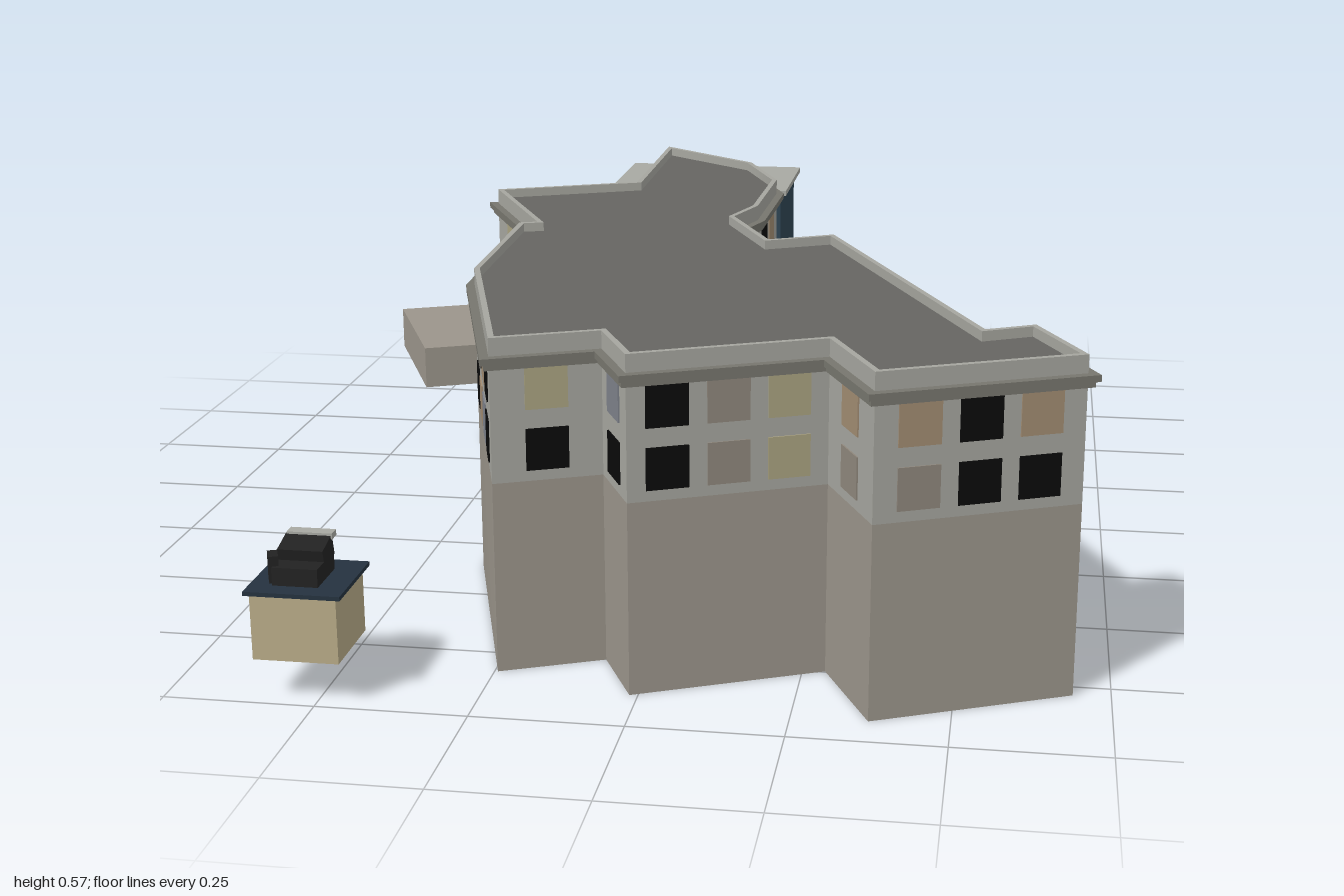
import * as THREE from 'three';
import { toCreasedNormals } from 'three/addons/utils/BufferGeometryUtils.js';

const mat = (color) => new THREE.MeshStandardMaterial({ color, side: THREE.DoubleSide });
const M = {
  lower: mat(0x9b958b), upper: mat(0xa6a69f), cornice: mat(0x77766e), roof: mat(0x666562),
  slab: mat(0xa8a9a2), glass: mat(0x2f4553), sand: mat(0xb8ab88), navy: mat(0x25323f), dark: mat(0x222222),
};
// window panes: black, tan, cream, grey, blue-grey
const PANES = { b: mat(0x0a0a0a), t: mat(0xa18c72), c: mat(0xaaa381), g: mat(0x8f877c), u: mat(0x7d818a) };

// footprint of the eaves as [x, z], going round from the north tip by the east
const EAVES = [
  [-0.265, -0.935], [-0.02, -0.74], [0.063, -0.54], [0.058, -0.255], [0.026, -0.15],
  [0.11, 0.03], [0.228, -0.03], [0.534, 0.635], [0.614, 0.593], [0.709, 0.79],
  [0.365, 0.947], [0.28, 0.767], [-0.021, 0.905], [-0.085, 0.772], [-0.254, 0.846],
  [-0.402, 0.365], [-0.413, -0.04], [-0.386, -0.05], [-0.54, -0.355], [-0.26, -0.48],
];

// panes for each wall of the footprint: [upper row, lower row]
const WINDOWS = {
  1: ['c', 'b'], 2: ['tb', 'bb'], 3: ['c', 'b'], 4: ['b', 't'], 5: ['c', 'b'],
  6: ['bbbbbbt', 'tbbcbbb'], 8: ['t', 'c'], 9: ['tbt', 'bbg'], 10: ['t', 'g'],
  11: ['cgb', 'cgb'], 12: ['u', 'b'], 13: ['c', 'b'], 14: ['btbc', 'butb'],
  15: ['btbb', 'bbtb'], 17: ['bc', 'bb'], 18: ['btc', 'bgb'], 19: ['bu', 'bb'],
};

const outward = (a, b) => {
  const dx = b[0] - a[0], dz = b[1] - a[1], l = Math.hypot(dx, dz);
  return [dz / l, -dx / l];
};

// moves an outline inwards by d with mitred corners
function inset(pts, d) {
  const n = pts.length;
  return pts.map((p, i) => {
    const m = outward(pts[(i + n - 1) % n], p), k = outward(p, pts[(i + 1) % n]);
    const s = -d / (1 + m[0] * k[0] + m[1] * k[1]);
    return [p[0] + (m[0] + k[0]) * s, p[1] + (m[1] + k[1]) * s];
  });
}

const rect = (x0, x1, z0, z1) => [[x0, z0], [x1, z0], [x1, z1], [x0, z1]];

// upright prism over an outline; with a wall thickness it is an open shell
function prism(name, pts, y0, y1, material, wall = 0) {
  const v2 = (list) => list.map(([x, z]) => new THREE.Vector2(x, -z));
  const shape = new THREE.Shape(v2(pts));
  if (wall) shape.holes.push(new THREE.Path(v2(inset(pts, wall))));
  const geo = new THREE.ExtrudeGeometry(shape, { depth: y1 - y0, bevelEnabled: false });
  geo.rotateX(-Math.PI / 2).translate(0, y0, 0);
  const mesh = new THREE.Mesh(toCreasedNormals(geo, 0.61), material);
  mesh.name = name;
  return mesh;
}

function box(name, w, h, d, x, y, z, material) {
  const mesh = new THREE.Mesh(new THREE.BoxGeometry(w, h, d), material);
  mesh.position.set(x, y, z);
  mesh.name = name;
  return mesh;
}

function makeWindows(walls) {
  const group = new THREE.Group();
  group.name = 'windows';
  for (const [i, rows] of Object.entries(WINDOWS)) {
    const a = walls[+i], b = walls[(+i + 1) % walls.length];
    const n = outward(a, b), length = Math.hypot(b[0] - a[0], b[1] - a[1]);
    rows.forEach((row, r) => [...row].forEach((code, k) => {
      const t = 0.5 + (k - (row.length - 1) / 2) * 0.1 / length;
      const pane = box('window', 0.07, 0.07, 0.005, a[0] + (b[0] - a[0]) * t,
        r ? 0.378 : 0.48, a[1] + (b[1] - a[1]) * t, PANES[code]);
      pane.rotation.y = Math.atan2(n[0], n[1]);
      group.add(pane);
    }));
  }
  return group;
}

// glazed box at the north tip, raised above the ground
function makeAnnex() {
  const group = new THREE.Group();
  group.name = 'annex';
  group.add(
    prism('annexBase', rect(-0.34, 0.04, -0.99, -0.718), 0.067, 0.325, M.lower, 0.006),
    prism('annexGlazing', rect(-0.335, 0.035, -0.985, -0.722), 0.325, 0.497, M.glass, 0.006),
    prism('annexRoof', rect(-0.348, 0.048, -1, -0.71), 0.497, 0.508, M.slab),
  );
  return group;
}

// small detached plinth with a dark machine on top
function makePlinth() {
  const group = new THREE.Group();
  group.name = 'plinth';
  group.add(
    prism('plinthBase', rect(-0.6, -0.459, 0.85, 0.99), 0.07, 0.18, M.sand, 0.004),
    prism('plinthTop', rect(-0.608, -0.45, 0.84, 0.997), 0.18, 0.187, M.navy),
  );
  const body = box('machineBody', 0.075, 0.03, 0.085, -0.533, 0.202, 0.922, M.dark);
  const head = box('machineHead', 0.075, 0.038, 0.05, -0.533, 0.224, 0.905, M.dark);
  head.rotation.x = 0.25;
  const arm = box('machineArm', 0.016, 0.045, 0.03, -0.574, 0.211, 0.945, M.dark);
  arm.rotation.y = 0.4;
  group.add(body, head, arm, box('machineCap', 0.075, 0.01, 0.022, -0.531, 0.246, 0.88, M.slab));
  return group;
}

export function createModel() {
  const model = new THREE.Group();
  model.name = 'building';
  const walls = inset(EAVES, 0.015);

  // two-tone walls; the upper band carries on into the parapet
  model.add(
    prism('lowerWall', walls, 0, 0.325, M.lower, 0.01),
    prism('upperWall', walls, 0.325, 0.567, M.upper, 0.01),
    prism('roof', inset(walls, 0.009), 0.54, 0.55, M.roof),
    prism('corniceLower', inset(EAVES, 0.006), 0.516, 0.526, M.cornice, 0.012),
    prism('cornice', EAVES, 0.526, 0.537, M.cornice, 0.018),
  );
  model.add(makeWindows(walls));

  // canopy on the west wall
  model.add(prism('canopy', [[-0.711, -0.259], [-0.5, -0.353], [-0.368, -0.057], [-0.579, 0.037]],
    0.242, 0.322, M.lower));

  model.add(makeAnnex(), makePlinth());
  return model;
}
